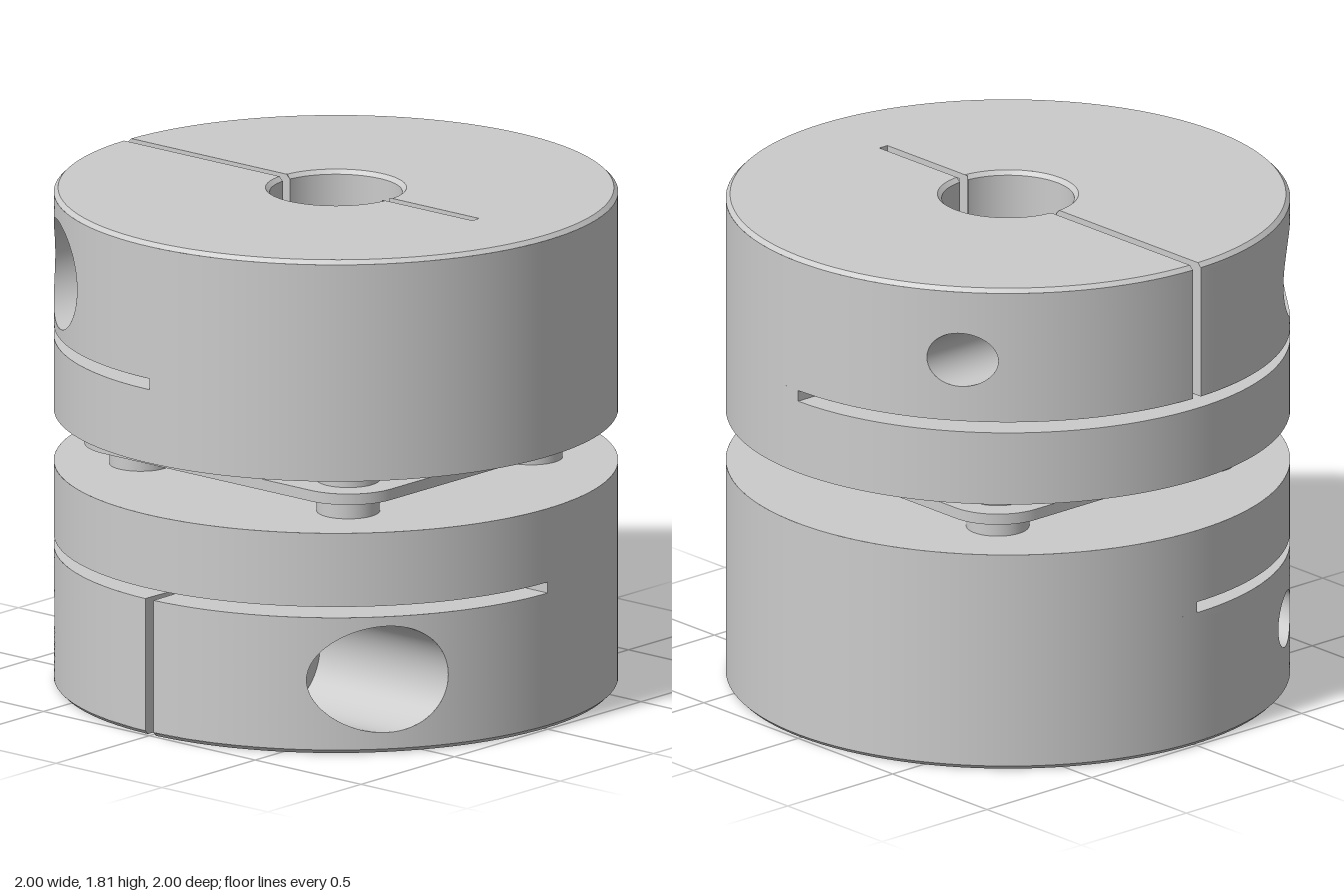
import * as THREE from 'three';

const material = new THREE.MeshStandardMaterial({ color: 0xcccccc, side: THREE.DoubleSide });
const { PI, sin, cos, asin, acos, sqrt } = Math;

const HEIGHT = 0.81, CHAMFER = 0.015;        // one hub
const BORE = 0.235, RELIEF = 0.31;           // shaft bore and wider inner bore
const SLOT0 = 0.5, SLOT1 = 0.54;             // horizontal slot
const W = 0.019, SLIT_END = 0.66, SLIT_TOP = 0.27;  // vertical slit
const SY = 0.27, SZ = 0.62;                  // clamp screw axis, along x

function add(parent, name, geometry) {
  const mesh = new THREE.Mesh(geometry, material);
  mesh.name = name;
  parent.add(mesh);
  return mesh;
}

// Surface of revolution between two profile points; angle 0 is +z
function band(parent, name, r0, y0, r1, y1, a0 = 0, a1 = PI) {
  const pts = [new THREE.Vector2(r0, y0), new THREE.Vector2(r1, y1)];
  return add(parent, name, new THREE.LatheGeometry(pts, 56, a0, a1 - a0));
}

// Flat four-cornered face, corners counter-clockwise
function quad(parent, name, ...corners) {
  const g = new THREE.BufferGeometry();
  g.setAttribute('position', new THREE.Float32BufferAttribute(corners.flat(), 3));
  g.setIndex([0, 1, 2, 0, 2, 3]);
  g.computeVertexNormals();
  return add(parent, name, g);
}

// Grid whose vertices and normals follow a rule
function warp(nu, nv, rule) {
  const g = new THREE.PlaneGeometry(1, 1, nu, nv);
  const { position, normal, uv } = g.attributes;
  for (let i = 0; i < position.count; i++) {
    const [p, n] = rule(uv.getX(i), uv.getY(i));
    position.setXYZ(i, ...p);
    normal.setXYZ(i, ...n);
  }
  return g;
}

// Curved quarter of the outer wall with the screw opening in it
function piercedWall(r) {
  const N = 96, t0 = asin(W), t1 = PI / 2, y0 = CHAMFER, y1 = SLOT0, tc = acos(SZ);
  const hole = [], edge = [];
  for (let i = 0; i < N; i++) {
    const f = 2 * PI * i / N;
    const h = [acos(SZ + r * cos(f)), SY + r * sin(f)];
    const dt = h[0] - tc, dy = h[1] - SY;
    const kt = Math.abs(dt) < 1e-6 ? Infinity : ((dt > 0 ? t1 : t0) - tc) / dt;
    const ky = Math.abs(dy) < 1e-6 ? Infinity : ((dy > 0 ? y1 : y0) - SY) / dy;
    const k = Math.min(kt, ky);
    hole.push(h);
    edge.push([tc + dt * k, SY + dy * k]);
  }
  for (const c of [[t0, y0], [t0, y1], [t1, y0], [t1, y1]]) {
    let best = 0;
    const dist = (e) => Math.hypot(e[0] - c[0], e[1] - c[1]);
    edge.forEach((e, i) => { if (dist(e) < dist(edge[best])) best = i; });
    edge[best] = c;
  }
  return warp(N, 12, (u, v) => {
    const i = Math.round(u * N) % N;
    const t = hole[i][0] + (edge[i][0] - hole[i][0]) * v;
    const y = hole[i][1] + (edge[i][1] - hole[i][1]) * v;
    return [[sin(t), y, cos(t)], [sin(t), 0, cos(t)]];
  });
}

// Screw bore from x0 to x1, or out to the curved wall when x1 is omitted
function screwBore(r, x0, x1) {
  return warp(64, 4, (u, v) => {
    const f = 2 * PI * u, z = SZ + r * cos(f);
    const end = x1 ?? sqrt(1 - z * z);
    return [[x0 + (end - x0) * v, SY + r * sin(f), z], [0, -sin(f), -cos(f)]];
  });
}

// Half-ring end face at x > 0, cut by the slit
function endFace(outer, inner, backSlit) {
  const pts = [], n = 56, a = asin(W / outer), b = asin(W / inner);
  const arc = (r, s, e) => {
    for (let i = 0; i <= n; i++) {
      const t = s + (e - s) * i / n;
      pts.push(new THREE.Vector2(r * sin(t), r * cos(t)));
    }
  };
  arc(outer, a, PI);
  if (backSlit) pts.push(new THREE.Vector2(0, -SLIT_END), new THREE.Vector2(W, -SLIT_END));
  arc(inner, backSlit ? PI - b : PI, b);
  return new THREE.ShapeGeometry(new THREE.Shape(pts)).rotateX(PI / 2);
}

// Half hub at x > 0; the head side has the counterbore
function halfHub(headSide) {
  const g = new THREE.Group();
  g.name = headSide ? 'screwHeadHalf' : 'threadedHalf';
  const a = asin(W), b = asin(W / BORE), c = CHAMFER, H = HEIGHT;
  const mouth = headSide ? 0.195 : 0.1, shank = headSide ? 0.13 : 0.1;

  // Outside
  add(g, 'clampOuterWall', piercedWall(mouth));
  band(g, 'upperOuterWall', 1, SLOT1, 1, H, 0, PI / 2);
  band(g, 'backOuterWall', 1, c, 1, H, PI / 2, PI);
  band(g, 'outerChamfer', 1 - c, 0, 1, c, a, PI);
  add(g, 'endFace', endFace(1 - c, BORE + c, true));
  band(g, 'innerFace', 1, H, RELIEF, H);

  // Shaft bore
  band(g, 'boreChamfer', BORE, c, BORE + c, 0, b, PI - b);
  band(g, 'boreOuterPart', BORE, SLIT_TOP, BORE, c, b, PI - b);
  band(g, 'boreInnerPart', BORE, SLOT0, BORE, SLIT_TOP, b, PI);
  band(g, 'boreRelief', RELIEF, H, RELIEF, SLOT1);
  band(g, 'boreReliefBack', RELIEF, SLOT1, RELIEF, SLOT0, PI / 2, PI);

  // Horizontal slot
  band(g, 'slotFloor', 1, SLOT0, BORE, SLOT0, a, PI);
  band(g, 'slotCeiling', RELIEF, SLOT1, 1, SLOT1, 0, PI / 2);
  quad(g, 'slotEnd', [RELIEF, SLOT0, 0], [1, SLOT0, 0], [1, SLOT1, 0], [RELIEF, SLOT1, 0]);

  // Vertical slit
  const side = new THREE.Shape([[BORE + c, 0], [1 - c, 0], [1, c], [1, SLOT0], [BORE, SLOT0], [BORE, c]]
    .map(([z, y]) => new THREE.Vector2(z, y)));
  side.holes.push(new THREE.Path().absarc(SZ, SY, shank, 0, 2 * PI, true));
  add(g, 'slitWall', new THREE.ShapeGeometry(side, 32).rotateY(-PI / 2).translate(W, 0, 0));
  const E = -SLIT_END, T = SLIT_TOP;
  quad(g, 'backSlitWall', [W, 0, E], [W, 0, -BORE], [W, T, -BORE], [W, T, E]);
  quad(g, 'backSlitEnd', [0, 0, E], [W, 0, E], [W, T, E], [0, T, E]);
  quad(g, 'backSlitCeiling', [0, T, E], [W, T, E], [W, T, -BORE], [0, T, -BORE]);

  // Clamp screw hole
  if (headSide) {
    const ledge = 0.3;
    add(g, 'screwCounterbore', screwBore(mouth, ledge));
    add(g, 'screwHole', screwBore(shank, W, ledge));
    add(g, 'screwSeat', new THREE.RingGeometry(shank, mouth, 64).rotateY(PI / 2).translate(ledge, SY, SZ));
  } else {
    add(g, 'screwHole', screwBore(shank, W));
  }
  return g;
}

function hub(name) {
  const g = new THREE.Group();
  g.name = name;
  const threaded = halfHub(false);
  threaded.scale.x = -1;
  g.add(halfHub(true), threaded);
  return g;
}

export function createModel() {
  const model = new THREE.Group();
  model.name = 'shaftCoupling';

  // Two clamp hubs, the upper one flipped and turned a quarter
  const upper = hub('upperHub');
  upper.scale.y = -1;
  upper.rotation.y = -PI / 2;
  upper.position.y = 1.81;
  model.add(hub('lowerHub'), upper);

  // Flexible plate: rounded square with a central hole
  const p = 0.49, r = 0.2;
  const plate = new THREE.Shape();
  [[p, p], [-p, p], [-p, -p], [p, -p]].forEach(([x, y], i) =>
    plate.absarc(x, y, r, i * PI / 2, (i + 1) * PI / 2, false));
  plate.closePath();
  plate.holes.push(new THREE.Path().absarc(0, 0, RELIEF, 0, 2 * PI, true));
  const plateGeometry = new THREE.ExtrudeGeometry(plate, { depth: 0.04, bevelEnabled: false, curveSegments: 20 });
  add(model, 'flexPlate', plateGeometry.rotateX(-PI / 2).translate(0, 0.885, 0));

  // Spacers between the hubs
  for (const x of [-p, p]) for (const z of [-p, p])
    add(model, 'spacer', new THREE.CylinderGeometry(0.112, 0.112, 0.19, 40)).position.set(x, 0.905, z);

  return model;
}
